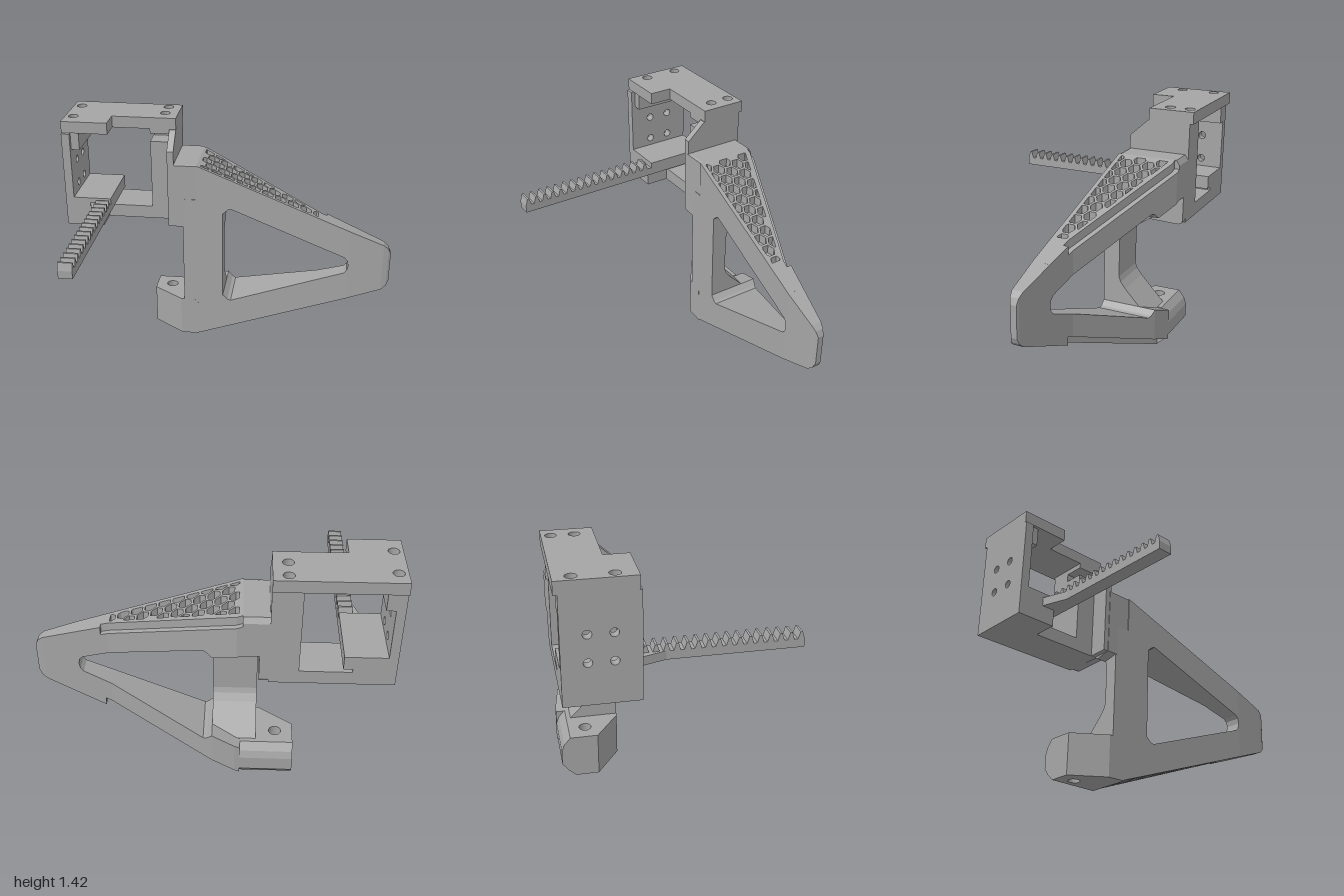
import * as THREE from 'three';

const MID = 0.5875; // height of the triangle's axis
const grey = new THREE.MeshStandardMaterial({ color: 0xa5a5a5 });
grey.name = 'grey plastic';

// Piecewise linear curve through [x, value] pairs
function curve(x, pts) {
  if (x <= pts[0][0]) return pts[0][1];
  for (let i = 1; i < pts.length; i++) {
    const [x0, v0] = pts[i - 1], [x1, v1] = pts[i];
    if (x <= x1) return v0 + (v1 - v0) * (x - x0) / (x1 - x0);
  }
  return pts[pts.length - 1][1];
}
const front = (x) => curve(x, [[-0.37, -0.268], [0.78, -0.2], [0.97, -0.2], [0.995, -0.215]]);
const rear = (x, cap) => Math.max(-cap, curve(x, [[-0.16, -0.63], [0.56, -0.34], [0.97, -0.26], [0.995, -0.25]]));
const topEdge = (x) => 1.17 - 0.379 * Math.max(0, x + 0.19);

// Turn a closed geometry's faces outward and give it flat normals
function mesh(name, source) {
  const geo = source.index ? source.toNonIndexed() : source;
  const p = geo.attributes.position;
  const a = new THREE.Vector3(), b = new THREE.Vector3(), c = new THREE.Vector3();
  let volume = 0;
  for (let i = 0; i < p.count; i += 3) {
    a.fromBufferAttribute(p, i); b.fromBufferAttribute(p, i + 1); c.fromBufferAttribute(p, i + 2);
    volume += a.dot(b.cross(c));
  }
  if (volume < 0) for (let i = 0; i < p.count; i += 3) {
    b.fromBufferAttribute(p, i + 1); c.fromBufferAttribute(p, i + 2);
    p.setXYZ(i + 1, c.x, c.y, c.z); p.setXYZ(i + 2, b.x, b.y, b.z);
  }
  geo.clearGroups();
  geo.computeVertexNormals();
  const m = new THREE.Mesh(geo, grey);
  m.name = name;
  return m;
}

function box(name, x0, x1, y0, y1, z0, z1) {
  const g = new THREE.BoxGeometry(x1 - x0, y1 - y0, z1 - z0);
  return mesh(name, g.translate((x0 + x1) / 2, (y0 + y1) / 2, (z0 + z1) / 2));
}

// Extrude an outline, then place each point (a, b, t) by a rule
function plate(name, outline, holes, rule, steps = 1) {
  const shape = new THREE.Shape(outline.map((q) => new THREE.Vector2(...q)));
  for (const h of holes) shape.holes.push(new THREE.Path(h.map((q) => new THREE.Vector2(...q))));
  const geo = new THREE.ExtrudeGeometry(shape, { depth: 1, steps, bevelEnabled: false });
  const p = geo.attributes.position;
  for (let i = 0; i < p.count; i++) p.setXYZ(i, ...rule(p.getX(i), p.getY(i), p.getZ(i)));
  return mesh(name, geo);
}
const alongX = (x0, x1) => (z, y, t) => [x0 + (x1 - x0) * t, y, z];
const alongY = (y0, y1) => (x, z, t) => [x, y0 + (y1 - y0) * t, z];

function ring(cx, cy, r, n = 20) {
  return Array.from({ length: n }, (_, i) => {
    const a = i / n * Math.PI * 2;
    return [cx + r * Math.cos(a), cy + r * Math.sin(a)];
  });
}

// Join cross-sections, each a list of [y, z] at one x, with end caps
function loft(name, sections) {
  const n = sections[0].pts.length, pos = [], idx = [];
  sections.forEach((s) => s.pts.forEach(([y, z]) => pos.push(s.x, y, z)));
  for (let s = 0; s < sections.length - 1; s++) for (let i = 0; i < n; i++) {
    const a = s * n + i, b = s * n + (i + 1) % n;
    idx.push(a, b, a + n, b, b + n, a + n);
  }
  const e = (sections.length - 1) * n;
  for (let i = 1; i < n - 1; i++) idx.push(0, i + 1, i, e, e + i, e + i + 1);
  const geo = new THREE.BufferGeometry();
  geo.setAttribute('position', new THREE.Float32BufferAttribute(pos, 3));
  geo.setIndex(idx);
  return mesh(name, geo);
}

// Cut a polygon to the inside of a convex panel (counter-clockwise)
function clip(poly, panel) {
  panel.forEach((p, k) => {
    const q = panel[(k + 1) % panel.length], out = [];
    const side = (v) => (q[0] - p[0]) * (v[1] - p[1]) - (q[1] - p[1]) * (v[0] - p[0]);
    poly.forEach((v, i) => {
      const w = poly[(i + 1) % poly.length], a = side(v), b = side(w);
      if (a >= 0) out.push(v);
      if (a * b < 0) out.push([v[0] + (w[0] - v[0]) * a / (a - b), v[1] + (w[1] - v[1]) * a / (a - b)]);
    });
    poly = out;
  });
  return poly;
}

// Sloping arm: solid core and a honeycomb skin on its outer face
function arm(name, sign, cap, chamfer) {
  const g = new THREE.Group(), skin = 0.05;
  g.name = name;
  const flip = (y) => MID + sign * (y - MID);
  const stations = [[-0.19, 0.93, skin], [-0.16, 0.92, skin], [-0.03, 0.87, skin], [0, 0.898, skin], [0.02, 0.905, skin],
    [0.56, 0.70, skin], [0.6, 0.685, skin], [0.6, 0.685, 0], [0.72, 0.64, 0], [0.738, 0.62, 0], [0.745, MID, 0]];
  g.add(loft(name + 'Core', stations.map(([x, low, drop]) => {
    const t = flip(topEdge(x) - drop), b = flip(low), f = front(x), r = rear(x, cap);
    return { x, pts: [[b, f], [t, f], [t, r], [b, r]] };
  })));
  const edge = (x) => rear(x, cap) + chamfer;
  const panel = [[-0.17, edge(-0.16) + 0.03], [0.55, edge(0.55) + 0.02], [0.55, front(0.55) - 0.025], [-0.17, front(-0.17) - 0.025]];
  const holes = [], pitch = 0.078, R = 0.037;
  for (let j = 0; j < 8; j++) for (let i = 0; i < 11; i++) {
    const cx = -0.15 + (i - (j % 2) / 2) * pitch, cz = -0.27 - j * pitch * 0.866;
    const hex = Array.from({ length: 6 }, (_, k) => {
      const a = (k + 0.5) * Math.PI / 3;
      return [cx + R * Math.cos(a), cz + R * Math.sin(a)];
    });
    const cut = clip(hex, panel);
    if (cut.length > 2 && Math.abs(THREE.ShapeUtils.area(cut.map(([x, y]) => ({ x, y })))) > 0.0006) holes.push(cut);
  }
  const xs = [-0.19, -0.16, 0.56, 0.6];
  const outline = [...xs.map((x) => [x, edge(x)]), ...[...xs].reverse().map((x) => [x, front(x)])];
  g.add(plate(name + 'Honeycomb', outline, holes, (x, z, t) => [x, flip(topEdge(x) - skin * t), z]));
  return g;
}

export function createModel() {
  const model = new THREE.Group();

  // Triangular frame
  const frame = new THREE.Group();
  frame.name = 'triangularFrame';
  frame.add(arm('upperArm', 1, 0.63, 0.03), arm('lowerArm', -1, 0.605, 0.07));
  frame.add(loft('nose', [[0.745, 0.228], [0.95, 0.15], [0.98, 0.125], [0.995, 0.09]].map(([x, h]) => {
    const f = front(x), r = rear(x, 1);
    return { x, pts: [[MID - h, f], [MID + h, f], [MID + h, r], [MID - h, r]] };
  })));
  const back = [[-0.55, 0.95], [-0.55, 0.875], [-0.38, 0.765], [-0.35, 0.735], [-0.343, 0.7],
    [-0.343, 0.47], [-0.355, 0.44], [-0.385, 0.4], [-0.53, 0.25], [-0.53, 0.2]];
  frame.add(plate('column', [[-0.25, 0.2], [-0.25, 0.95], ...back], [],
    (z, y, t) => { const x = -0.28 + 0.25 * t; return [x, y, z === -0.25 ? front(x) : z]; }));
  frame.add(plate('upperEnd', [[-0.262, 0.765], [-0.262, 1.165], [-0.275, 1.17], [-0.61, 1.17], [-0.63, 1.14],
    [-0.63, 0.93], [-0.36, 0.745]], [], alongX(-0.34, -0.19)));

  // Foot with a rounded back and a screw hole
  const footBack = (y) => curve(y, [[0, -0.53], [0.042, -0.575], [0.083, -0.605], [0.167, -0.605], [0.208, -0.59], [0.25, -0.555]]);
  frame.add(plate('foot', [[-0.19, -0.257], [-0.3, -0.264], [-0.49, -0.4], [-0.49, -0.605], [-0.19, -0.605]],
    [ring(-0.39, -0.46, 0.035)], (x, z, t) => [x, 0.25 * t, Math.max(z, footBack(0.25 * t))], 6));
  model.add(frame);

  // Bracket around the square opening
  const bracket = new THREE.Group();
  bracket.name = 'bracket';
  const screws = [[-0.95, -0.56], [-0.95, -0.355], [-0.41, -0.6], [-0.41, -0.48]];
  bracket.add(plate('topPlate', [[-1, -0.65], [-0.33, -0.65], [-0.33, -0.38], [-0.72, -0.38], [-0.72, -0.245], [-1, -0.245]],
    screws.map(([x, z]) => ring(x, z, 0.03)), alongY(1.35, 1.42)));
  const bolts = [[-0.5, 1.14], [-0.37, 1.14], [-0.5, 0.99], [-0.37, 0.99]];
  bracket.add(plate('outerWall', [[-0.235, 0.76], [-0.235, 1.345], [-0.255, 1.35], [-0.63, 1.35], [-0.63, 0.76]],
    bolts.map(([z, y]) => ring(z, y, 0.023)), alongX(-1, -0.95)));
  bracket.add(
    box('topLip', -0.95, -0.9, 1.24, 1.35, -0.63, -0.26),
    box('floor', -0.95, -0.77, 0.76, 0.86, -0.63, -0.235),
    box('rackSeat', -0.95, -0.72, 0.86, 0.94, -0.63, -0.235),
    box('bottomBar', -0.77, -0.33, 0.76, 0.84, -0.63, -0.38),
    box('innerPillar', -0.49, -0.37, 0.84, 1.27, -0.63, -0.38),
    box('pillarTop', -0.49, -0.37, 1.32, 1.35, -0.63, -0.38),
    box('slotBack', -0.49, -0.37, 1.27, 1.32, -0.63, -0.5));
  bracket.add(plate('innerWall', [[-0.265, 0.765], [-0.265, 1.25], [-0.375, 1.35], [-0.63, 1.35], [-0.63, 0.76], [-0.4, 0.76]],
    [], alongX(-0.37, -0.33)));
  bracket.add(plate('ear', [[-0.3, 0.77], [-0.3, 0.94], [-0.63, 0.94], [-0.63, 0.785], [-0.623, 0.768], [-0.605, 0.76]],
    [ring(-0.5, 0.86, 0.028)], alongX(-0.33, -0.28)));
  model.add(bracket);

  // Toothed rack with its gusset
  const rack = new THREE.Group();
  rack.name = 'rack';
  const teeth = [[-0.24, 0.86], [0.65, 0.86], [0.65, 0.905]];
  for (let i = 0; i < 16; i++) {
    const z = 0.631 - i * 0.0545;
    teeth.push([z + 0.018, 0.908], [z + 0.006, 0.948], [z - 0.006, 0.948], [z - 0.018, 0.908]);
  }
  teeth.push([-0.24, 0.905]);
  rack.add(plate('toothedBar', teeth, [], alongX(-0.8, -0.72)));
  rack.add(plate('gusset', [[-0.85, -0.24], [-0.8, -0.24], [-0.8, -0.08]], [], alongY(0.86, 0.91)));
  model.add(rack);

  return model;
}
